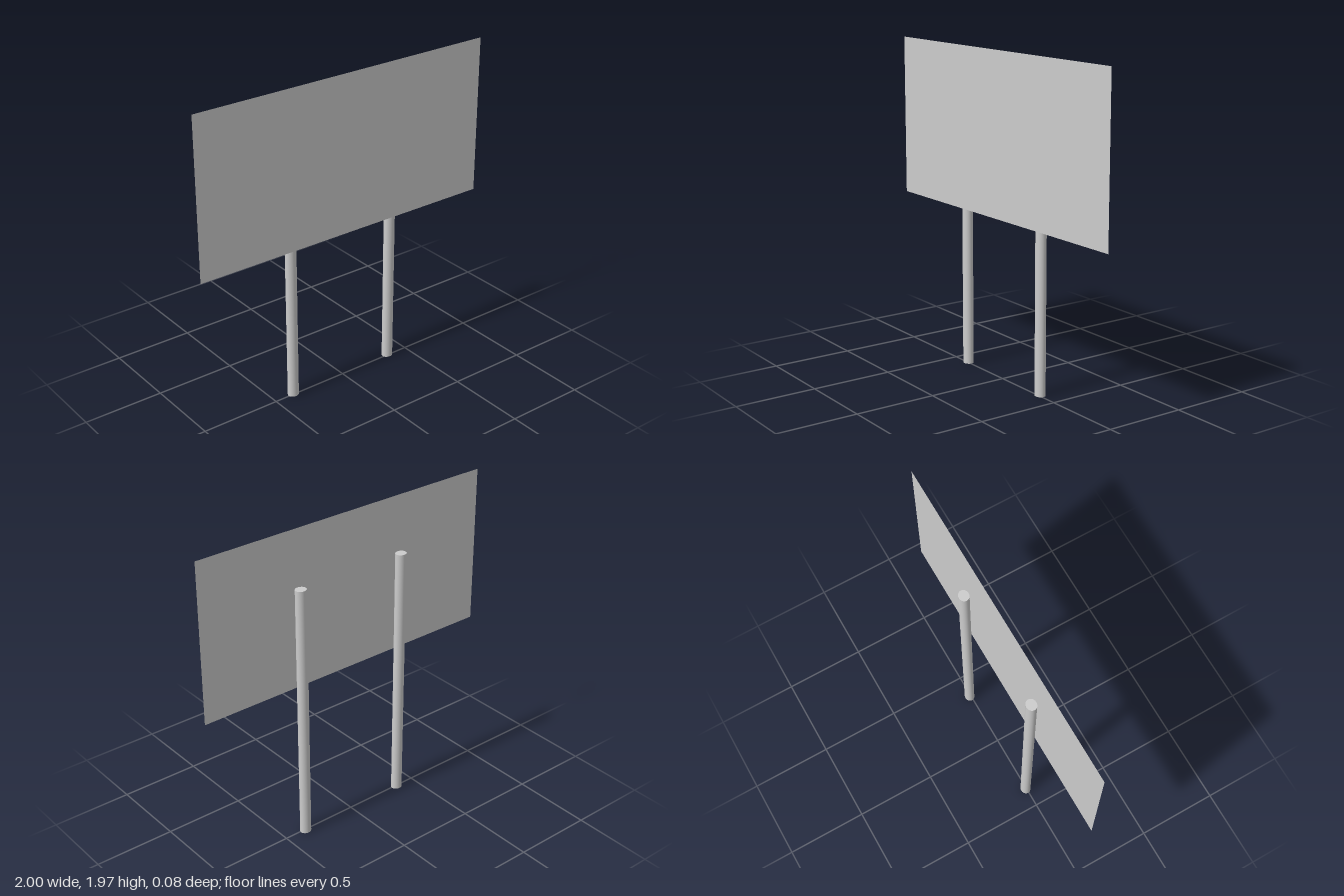
import * as THREE from 'three';

export function createModel() {
  const model = new THREE.Group();
  const grey = new THREE.MeshStandardMaterial({ color: 0xcccccc });
  const sheet = new THREE.MeshStandardMaterial({ color: 0xcccccc, side: THREE.DoubleSide });

  // Thin flat sign panel, standing just in front of the posts
  const panel = new THREE.Mesh(new THREE.PlaneGeometry(2, 0.985), sheet);
  panel.name = 'signPanel';
  panel.position.set(0, 1.477, 0.037);
  model.add(panel);

  // Two slightly oval posts reaching up behind the panel
  const postHeight = 1.625;
  const postGeometry = new THREE.CylinderGeometry(0.035, 0.035, postHeight, 32);
  postGeometry.scale(1, 1, 0.88);
  for (const [name, x, z] of [['rightPost', -0.37, -0.005], ['leftPost', 0.36, -0.008]]) {
    const post = new THREE.Mesh(postGeometry, grey);
    post.name = name;
    post.position.set(x, postHeight / 2, z);
    model.add(post);
  }

  return model;
}
